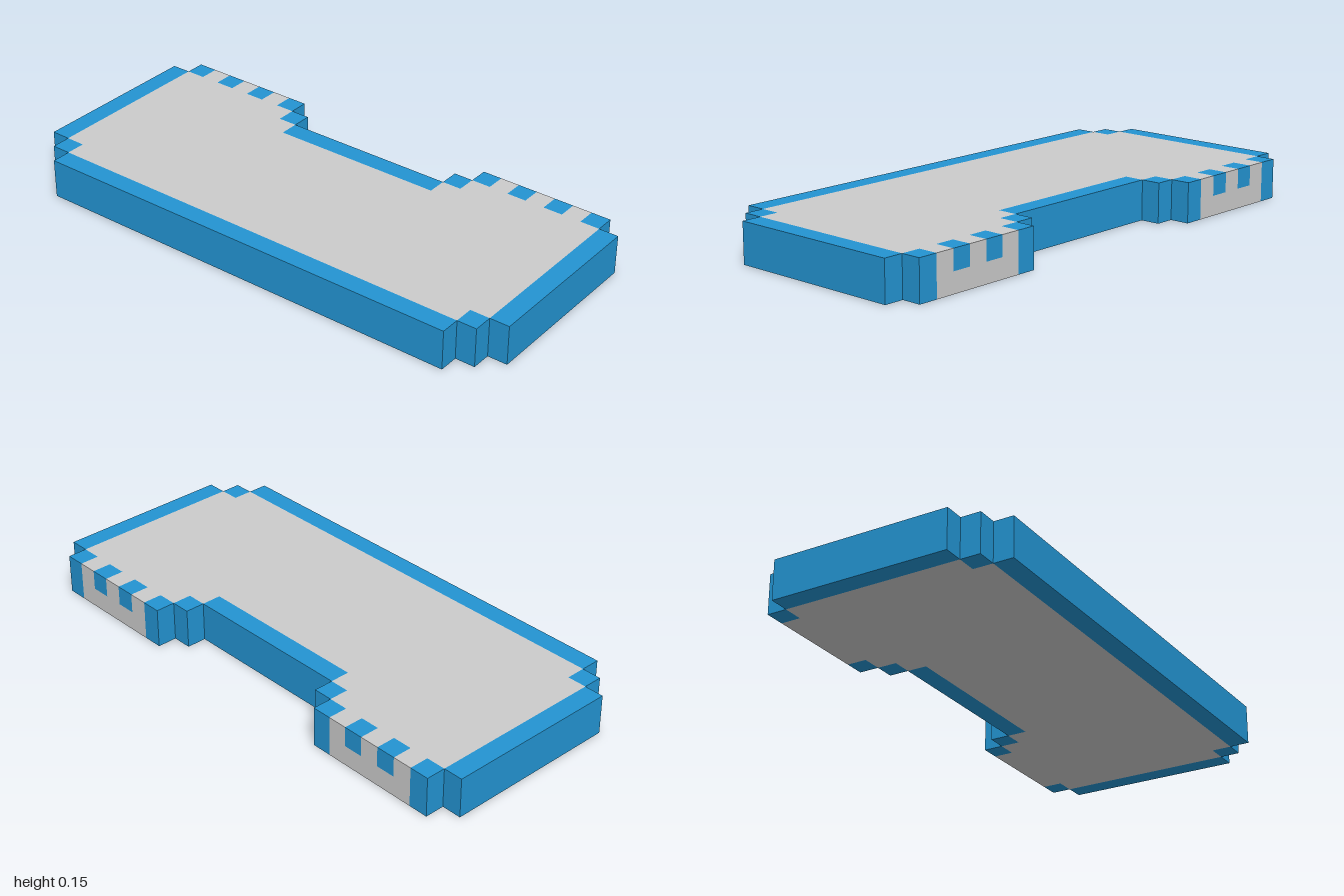
import * as THREE from 'three';

const U = 2 / 27; // one block
const HEIGHT = 2; // slab thickness in blocks

export function createModel() {
  const group = new THREE.Group();
  const grey = new THREE.MeshStandardMaterial({ color: 0xcccccc, flatShading: true });
  const blue = new THREE.MeshStandardMaterial({ color: 0x2394d2, flatShading: true });

  // Box given by its bounds in blocks
  function block(name, material, x0, x1, z0, z1, y0 = 0, y1 = HEIGHT) {
    const geometry = new THREE.BoxGeometry((x1 - x0) * U, (y1 - y0) * U, (z1 - z0) * U);
    const mesh = new THREE.Mesh(geometry, material);
    mesh.name = name;
    mesh.position.set((x0 + x1) / 2 * U, (y0 + y1) / 2 * U, (z0 + z1) / 2 * U);
    group.add(mesh);
  }
  // The same box at the front and back ends
  function mirrored(name, material, x0, x1, z0, z1, y0, y1) {
    block(name + 'Front', material, x0, x1, z0, z1, y0, y1);
    block(name + 'Back', material, x0, x1, -z1, -z0, y0, y1);
  }

  // Grey core: stepped outline, mirrored front to back
  const half = [[-5, 11.5], [-4, 11.5], [-4, 12.5], [5, 12.5], [5, 5.5], [4, 5.5], [4, 4.5], [3, 4.5]];
  const outline = [...half, ...half.map(([x, z]) => [x, -z]).reverse()];
  const shape = new THREE.Shape(outline.map(([x, z]) => new THREE.Vector2(x * U, z * U)));
  const coreGeometry = new THREE.ExtrudeGeometry(shape, { depth: HEIGHT * U, bevelEnabled: false });
  coreGeometry.rotateX(-Math.PI / 2);
  const core = new THREE.Mesh(coreGeometry, grey);
  core.name = 'core';
  group.add(core);

  // Blue rim: long side, recessed side, ends and stepped corners
  block('longSideRim', blue, -6, -5, -11.5, 11.5);
  block('recessRim', blue, 3, 4, -4.5, 4.5);
  mirrored('endRim', blue, -4, 5, 12.5, 13.5);
  mirrored('longSideCorner', blue, -5, -4, 11.5, 12.5);
  mirrored('outerCorner', blue, 5, 6, 11.5, 12.5);
  mirrored('innerCorner', blue, 5, 6, 5.5, 6.5);
  mirrored('recessCorner', blue, 4, 5, 4.5, 5.5);

  // Contact strips: grey base with alternating grey and blue blocks on top
  mirrored('contactBase', grey, 5, 6, 6.5, 11.5, 0, 1);
  for (let i = 0; i < 5; i++) {
    const isBlue = i % 2 === 1;
    mirrored((isBlue ? 'contactGap' : 'contact') + i, isBlue ? blue : grey, 5, 6, 6.5 + i, 7.5 + i, 1, 2);
  }
  return group;
}
